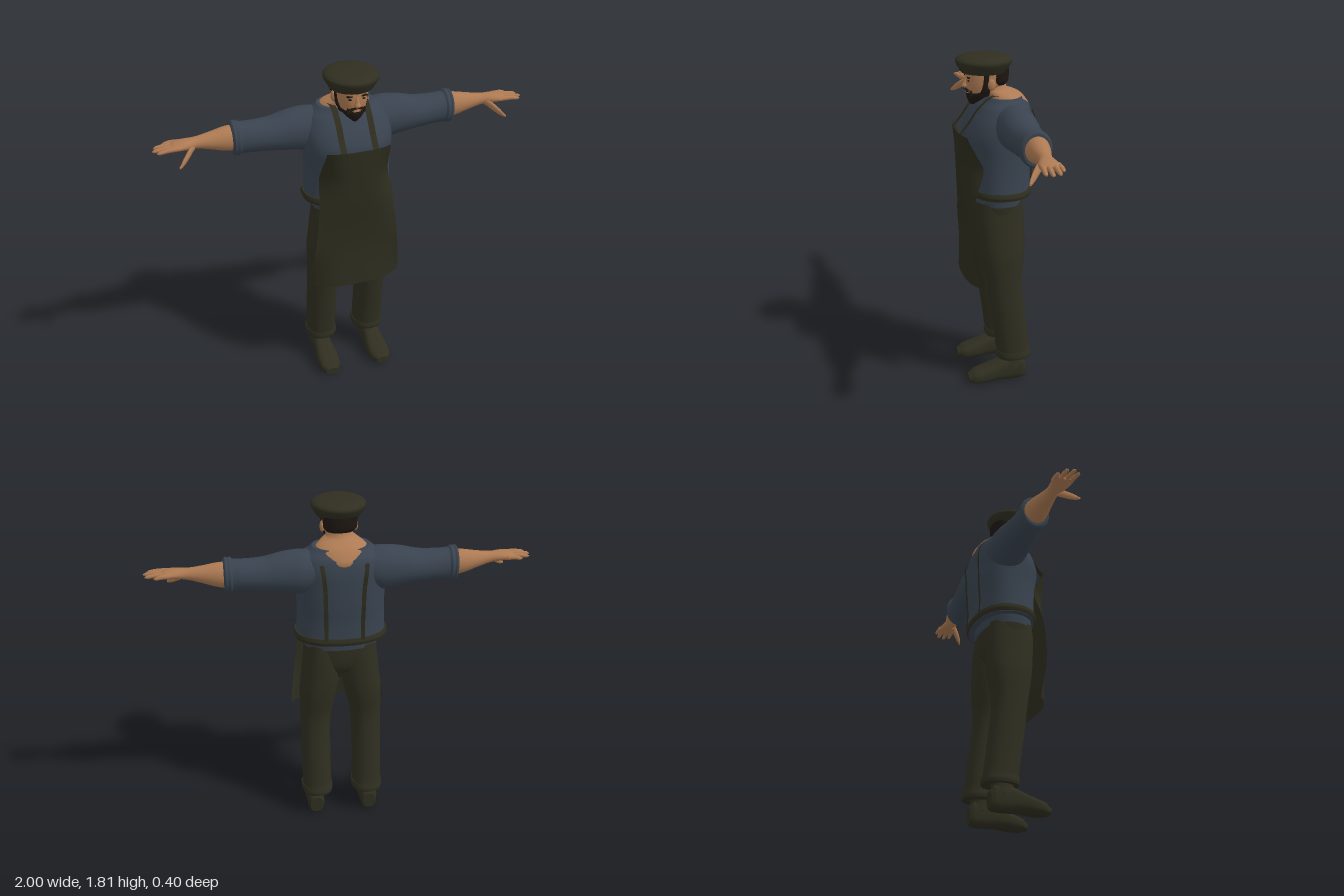
import * as THREE from 'three';

const material = (name, color, side = THREE.FrontSide) => {
  const m = new THREE.MeshStandardMaterial({ color, side });
  m.name = name;
  return m;
};

// Smooth interpolation between rows of numbers
function smoothRows(rows, steps) {
  const out = [];
  for (let k = 0; k < rows.length - 1; k++) {
    const p0 = rows[Math.max(k - 1, 0)], p1 = rows[k], p2 = rows[k + 1], p3 = rows[Math.min(k + 2, rows.length - 1)];
    for (let s = 0; s < steps; s++) {
      const t = s / steps;
      out.push(p1.map((b, i) => {
        if (i === 0) return b + (p2[0] - b) * t;
        const m1 = (p2[i] - p0[i]) / 2, m2 = (p3[i] - b) / 2, d = p2[i] - b;
        return b + m1 * t + (3 * d - 2 * m1 - m2) * t * t + (m1 + m2 - 2 * d) * t * t * t;
      }));
    }
  }
  out.push(rows[rows.length - 1]);
  return out;
}

// Loft along an axis. Row: [position, centreA, centreB, radiusA, radiusB]
// (A, B) is (x, z) for axis y, (y, z) for axis x, (x, y) for axis z.
function loft(axis, rows, { power = 2, seg = 28, steps = 4 } = {}) {
  const rings = smoothRows(rows, steps), pos = [], index = [];
  const place = (t, a, b) => axis === 'y' ? pos.push(a, t, b) : axis === 'x' ? pos.push(t, a, b) : pos.push(a, b, t);
  const flip = axis === 'y' ? 1 : -1;
  const bend = v => Math.sign(v) * Math.pow(Math.abs(v), 2 / power);
  const ring = ([t, a, b, ra, rb]) => {
    for (let i = 0; i < seg; i++) {
      const th = i / seg * Math.PI * 2;
      place(t, a + ra * bend(Math.cos(th)), b + flip * rb * bend(Math.sin(th)));
    }
  };
  rings.forEach(ring);
  for (let k = 0; k < rings.length - 1; k++) {
    for (let i = 0; i < seg; i++) {
      const a = k * seg + i, c = k * seg + (i + 1) % seg;
      index.push(a, a + seg, c + seg, a, c + seg, c);
    }
  }
  [rings[0], rings[rings.length - 1]].forEach((r, end) => {
    const start = pos.length / 3;
    ring(r);
    place(r[0], r[1], r[2]);
    for (let i = 0; i < seg; i++) {
      const p = start + i, q = start + (i + 1) % seg;
      if (end) index.push(start + seg, q, p); else index.push(start + seg, p, q);
    }
  });
  const g = new THREE.BufferGeometry();
  g.setAttribute('position', new THREE.Float32BufferAttribute(pos, 3));
  g.setIndex(index);
  g.computeVertexNormals();
  return g;
}

// Flat strip that follows a curve, its width lying along x
function ribbon(points, width) {
  const curve = new THREE.CatmullRomCurve3(points.map(p => new THREE.Vector3(...p)));
  const g = new THREE.PlaneGeometry(width, 1, 1, 32), p = g.attributes.position;
  for (let i = 0; i < p.count; i++) {
    const c = curve.getPoint(p.getY(i) + 0.5);
    p.setXYZ(i, c.x + p.getX(i), c.y, c.z);
  }
  g.computeVertexNormals();
  return g;
}

// Reflected copy of a geometry across x = 0
function mirror(geometry) {
  const g = geometry.clone().scale(-1, 1, 1), ix = g.index;
  for (let i = 0; i < ix.count; i += 3) {
    const t = ix.getX(i);
    ix.setX(i, ix.getX(i + 1));
    ix.setX(i + 1, t);
  }
  g.computeVertexNormals();
  return g;
}

const box = (w, h, d, x, y, z, rz = 0) => new THREE.BoxGeometry(w, h, d).rotateZ(rz).translate(x, y, z);
const ball = (rx, ry, rz, x, y, z) => new THREE.SphereGeometry(1, 16, 12).scale(rx, ry, rz).translate(x, y, z);

export function createModel() {
  const model = new THREE.Group();
  const olive = material('dark olive cloth', 0x2f2e20);
  const apronCloth = material('apron cloth', 0x2d2c1e, THREE.DoubleSide);
  const blue = material('slate blue shirt', 0x39434f);
  const skin = material('skin', 0xad7a53);
  const hair = material('dark hair', 0x1e1712);

  const add = (name, geometry, mat) => {
    const mesh = new THREE.Mesh(geometry, mat);
    mesh.name = name;
    model.add(mesh);
  };
  const pair = (name, geometry, mat) => {
    add('left ' + name, geometry, mat);
    add('right ' + name, mirror(geometry), mat);
  };

  // Shirt body, hem and belt
  add('shirt', loft('y', [[1.08, 0, -0.035, 0.236, 0.162], [1.2, 0, -0.035, 0.23, 0.162], [1.3, 0, -0.035, 0.23, 0.17],
    [1.4, 0, -0.03, 0.235, 0.178], [1.48, 0, -0.045, 0.232, 0.163], [1.55, 0, -0.06, 0.205, 0.132],
    [1.595, 0, -0.06, 0.15, 0.095]], { power: 2.3, seg: 40 }), blue);
  add('shirt hem', loft('y', [[1.035, 0, -0.025, 0.2, 0.136], [1.085, 0, -0.025, 0.205, 0.14]], { power: 2.3 }), blue);
  add('belt', loft('y', [[1.083, 0, -0.035, 0.242, 0.168], [1.1, 0, -0.035, 0.247, 0.173], [1.12, 0, -0.035, 0.242, 0.168]],
    { power: 2.3, seg: 40 }), olive);

  // Neck and bare upper back
  add('neck', loft('y', [[1.5, 0, -0.1, 0.09, 0.098], [1.54, 0, -0.093, 0.13, 0.107], [1.575, 0, -0.075, 0.145, 0.105],
    [1.605, 0, -0.06, 0.118, 0.09], [1.635, 0, -0.015, 0.07, 0.068], [1.72, 0, 0, 0.066, 0.07]]), skin);

  // Sleeves, rolled cuffs, forearms and hands
  pair('sleeve', loft('x', [[0.08, 1.475, -0.07, 0.09, 0.1], [0.2, 1.467, -0.08, 0.115, 0.106], [0.3, 1.468, -0.08, 0.106, 0.1],
    [0.4, 1.463, -0.08, 0.088, 0.09], [0.5, 1.464, -0.08, 0.083, 0.078], [0.58, 1.467, -0.08, 0.085, 0.07]]), blue);
  pair('sleeve cuff', loft('x', [[0.555, 1.468, -0.08, 0.084, 0.072], [0.565, 1.468, -0.08, 0.093, 0.08],
    [0.58, 1.468, -0.08, 0.09, 0.076], [0.59, 1.47, -0.08, 0.093, 0.079], [0.6, 1.47, -0.08, 0.082, 0.068]]), blue);
  pair('forearm and palm', loft('x', [[0.57, 1.47, -0.082, 0.068, 0.062], [0.63, 1.472, -0.08, 0.063, 0.058],
    [0.7, 1.476, -0.075, 0.046, 0.046], [0.78, 1.481, -0.068, 0.03, 0.034], [0.84, 1.484, -0.06, 0.025, 0.046],
    [0.89, 1.483, -0.06, 0.019, 0.052], [0.915, 1.482, -0.06, 0.01, 0.045]]), skin);
  [[0.945, -0.1, -0.106], [0.99, -0.075, -0.078], [1.0, -0.048, -0.043], [0.982, -0.022, -0.014]].forEach(([tip, z0, z1], i) => {
    pair('finger ' + (i + 1), loft('x', [[0.865, 1.484, z0, 0.013, 0.014], [(0.87 + tip) / 2, 1.484, (z0 + z1) / 2, 0.012, 0.0125],
      [tip - 0.012, 1.479, z1, 0.009, 0.01], [tip, 1.477, z1, 0.003, 0.004]], { seg: 12 }), skin);
  });
  pair('thumb', loft('x', [[0.79, 1.473, -0.05, 0.02, 0.018], [0.825, 1.45, -0.018, 0.022, 0.017],
    [0.86, 1.422, 0.012, 0.017, 0.013], [0.885, 1.404, 0.03, 0.006, 0.006]], { seg: 14 }), skin);

  // Trousers
  add('hips', loft('y', [[0.85, 0, -0.025, 0.1, 0.085], [0.92, 0, -0.024, 0.18, 0.118], [1.0, 0, -0.022, 0.196, 0.13],
    [1.07, 0, -0.022, 0.198, 0.132]], { power: 2.3 }), olive);
  pair('trouser leg', loft('y', [[0.15, 0.14, -0.094, 0.082, 0.094], [0.2, 0.14, -0.087, 0.08, 0.091], [0.4, 0.141, -0.062, 0.08, 0.092],
    [0.6, 0.138, -0.04, 0.083, 0.095], [0.75, 0.122, -0.035, 0.1, 0.117], [0.85, 0.107, -0.03, 0.104, 0.125],
    [0.95, 0.1, -0.024, 0.1, 0.128], [1.05, 0.095, -0.022, 0.095, 0.122]], { power: 2.3 }), olive);
  pair('trouser cuff', loft('y', [[0.138, 0.14, -0.094, 0.084, 0.095], [0.155, 0.14, -0.093, 0.087, 0.098],
    [0.18, 0.14, -0.091, 0.084, 0.094]], { power: 2.3 }), olive);

  // Shoes
  pair('shoe', loft('z', [[-0.155, 0.15, 0.055, 0.035, 0.045], [-0.135, 0.15, 0.066, 0.045, 0.066], [-0.06, 0.15, 0.068, 0.05, 0.068],
    [0, 0.15, 0.06, 0.054, 0.056], [0.07, 0.15, 0.044, 0.061, 0.044], [0.13, 0.151, 0.034, 0.057, 0.034],
    [0.165, 0.152, 0.027, 0.034, 0.019]], { power: 2.8 }), olive);
  pair('shoe ankle', loft('y', [[0.08, 0.15, -0.08, 0.052, 0.07], [0.13, 0.148, -0.085, 0.045, 0.06], [0.2, 0.145, -0.085, 0.05, 0.06]]), olive);

  // Apron: rows of [height, half width, z at centre, z at edge]
  const cloth = smoothRows([[1.42, 0.17, 0.19, 0.163], [1.32, 0.181, 0.186, 0.115], [1.24, 0.189, 0.182, 0.082], [1.1, 0.202, 0.172, 0.125],
    [0.95, 0.218, 0.156, 0.138], [0.8, 0.235, 0.15, 0.13], [0.6, 0.26, 0.163, 0.085]], 4);
  const apron = new THREE.PlaneGeometry(2, 1, 24, cloth.length - 1), ap = apron.attributes.position;
  for (let i = 0; i < ap.count; i++) {
    const [y, half, zc, ze] = cloth[Math.floor(i / 25)], u = ap.getX(i);
    ap.setXYZ(i, u * half, y, zc + (ze - zc) * Math.abs(u) ** 3);
  }
  apron.computeVertexNormals();
  add('apron', apron, apronCloth);

  // Apron straps, front and back
  pair('front strap', ribbon([[0.085, 1.41, 0.186], [0.085, 1.47, 0.137], [0.085, 1.53, 0.097], [0.086, 1.575, 0.055],
    [0.088, 1.605, 0.012], [0.09, 1.61, -0.03]], 0.032), apronCloth);
  pair('back strap', ribbon([[0.115, 1.535, -0.192], [0.108, 1.48, -0.209], [0.1, 1.4, -0.207], [0.097, 1.3, -0.203],
    [0.095, 1.2, -0.196], [0.095, 1.11, -0.197]], 0.022), apronCloth);

  // Head and face
  add('head', loft('y', [[1.575, 0, 0.08, 0.025, 0.025], [1.6, 0, 0.06, 0.058, 0.06], [1.65, 0, 0.032, 0.078, 0.1],
    [1.7, 0, 0.024, 0.084, 0.108], [1.76, 0, 0.02, 0.084, 0.105]], { power: 2.2 }), skin);
  add('nose', loft('y', [[1.637, 0, 0.132, 0.01, 0.008], [1.648, 0, 0.134, 0.017, 0.019], [1.665, 0, 0.131, 0.011, 0.015],
    [1.695, 0, 0.127, 0.008, 0.008]], { seg: 14 }), skin);
  pair('ear', ball(0.012, 0.03, 0.02, 0.087, 1.665, 0.015), skin);
  pair('eye', ball(0.012, 0.005, 0.005, 0.034, 1.681, 0.124), hair);
  pair('eyebrow', box(0.034, 0.008, 0.008, 0.036, 1.697, 0.125, 0.12), hair);

  // Beard, moustache, sideburns and back hair
  add('beard', loft('y', [[1.553, 0, 0.096, 0.014, 0.014], [1.57, 0, 0.088, 0.034, 0.032], [1.592, 0, 0.075, 0.054, 0.052],
    [1.612, 0, 0.062, 0.068, 0.065], [1.622, 0, 0.058, 0.068, 0.058]]), hair);
  add('lower lip', box(0.036, 0.008, 0.01, 0, 1.617, 0.125), skin);
  pair('moustache', box(0.04, 0.01, 0.012, 0.02, 1.632, 0.13, -0.25), hair);
  pair('moustache end', box(0.01, 0.028, 0.014, 0.042, 1.617, 0.113, 0.1), hair);
  pair('sideburn', loft('y', [[1.6, 0.058, 0.05, 0.012, 0.03], [1.64, 0.073, 0.042, 0.012, 0.022], [1.68, 0.079, 0.042, 0.01, 0.014],
    [1.73, 0.081, 0.038, 0.008, 0.016]], { seg: 14 }), hair);
  add('back hair', loft('y', [[1.655, 0, -0.03, 0.07, 0.045], [1.675, 0, -0.034, 0.086, 0.056], [1.74, 0, -0.034, 0.09, 0.06]]), hair);

  // Beret
  add('beret', loft('y', [[1.72, 0, 0.037, 0.112, 0.118], [1.728, 0, 0.037, 0.118, 0.124], [1.762, 0, 0.037, 0.137, 0.142],
    [1.782, 0, 0.036, 0.141, 0.146], [1.796, 0, 0.034, 0.125, 0.13], [1.806, 0, 0.033, 0.085, 0.09], [1.811, 0, 0.033, 0.004, 0.004]],
    { seg: 40 }), olive);

  return model;
}
